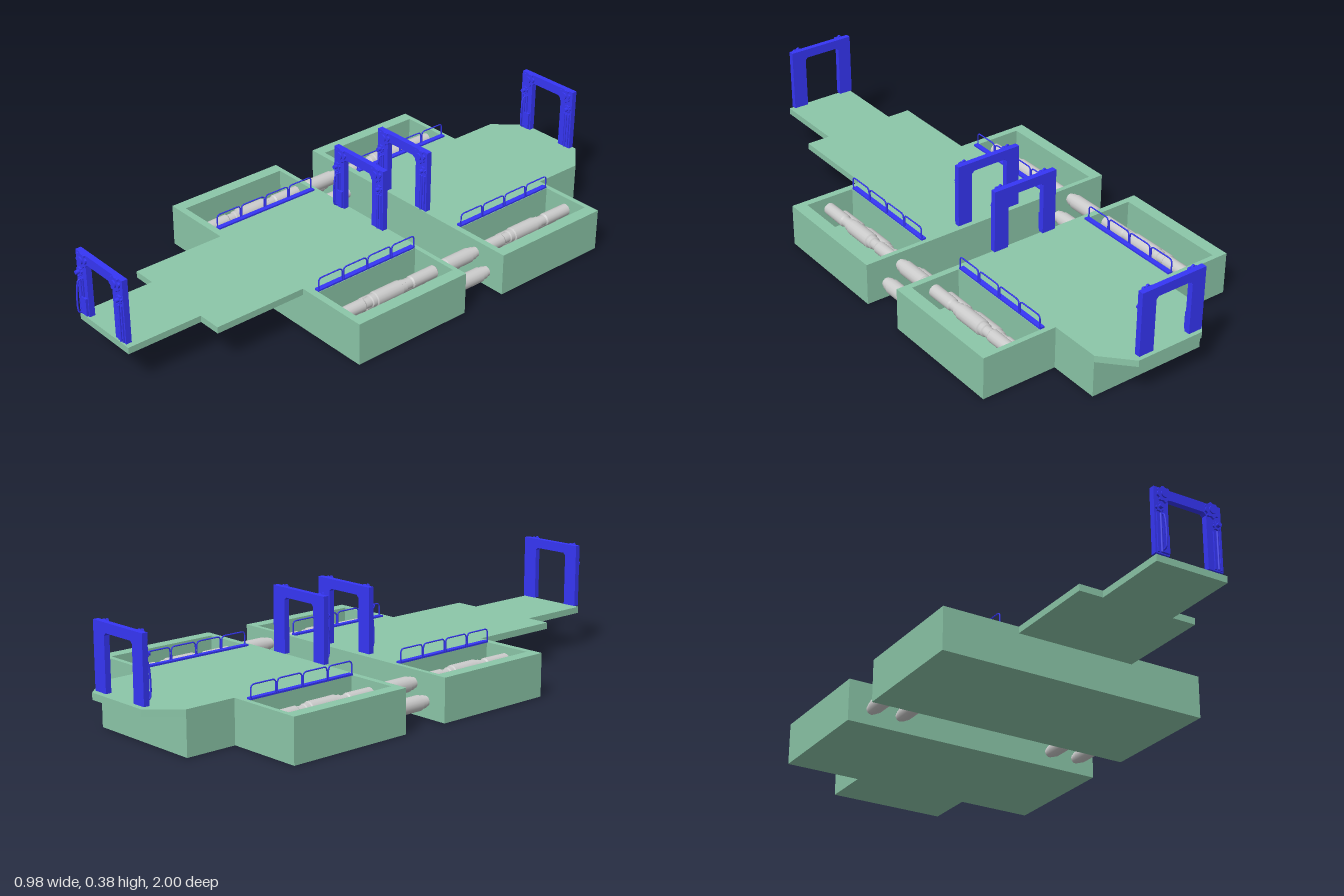
import * as THREE from 'three';

const green = new THREE.MeshStandardMaterial({ color: 0x8bc6a8, flatShading: true });
const blue = new THREE.MeshStandardMaterial({ color: 0x3636f6 });
const grey = new THREE.MeshStandardMaterial({ color: 0xcccccc });

function add(parent, name, geometry, material, x = 0, y = 0, z = 0) {
  const mesh = new THREE.Mesh(geometry, material);
  mesh.name = name;
  mesh.position.set(x, y, z);
  parent.add(mesh);
  return mesh;
}

// box given by its limits on each axis
function block(parent, name, material, x0, x1, y0, y1, z0, z1) {
  return add(parent, name, new THREE.BoxGeometry(x1 - x0, y1 - y0, z1 - z0), material,
    (x0 + x1) / 2, (y0 + y1) / 2, (z0 + z1) / 2);
}

// mirror a half outline of [x, z] points into a full closed one
const mirrored = (half) => [...half, ...half.map(([x, z]) => [-x, z]).reverse()];

// plan points, always wound the same way so that hole walls face outward
function toPath(pts) {
  const path = pts.map(([x, z]) => new THREE.Vector2(x, -z));
  return THREE.ShapeUtils.isClockWise(path) ? path.reverse() : path;
}

// horizontal slab from a plan outline, with optional holes
function slab(parent, name, outline, y0, y1, holes = []) {
  const shape = new THREE.Shape(toPath(outline));
  holes.forEach((h) => shape.holes.push(new THREE.Path(toPath(h))));
  const geo = new THREE.ExtrudeGeometry(shape, { depth: y1 - y0, bevelEnabled: false });
  geo.rotateX(-Math.PI / 2);
  return add(parent, name, geo, green, 0, y0, 0);
}

// hull block with an open trough on each side
function hull(parent, name, outline, z0, z1) {
  const g = new THREE.Group();
  g.name = name;
  const trough = (s) => [[s * 0.265, z0], [s * 0.445, z0], [s * 0.445, z1], [s * 0.265, z1]];
  slab(g, 'hullWalls', outline, 0.025, 0.15, [trough(1), trough(-1)]);
  slab(g, 'hullFloor', outline, 0, 0.025);
  parent.add(g);
}

// pipe running through both hulls, with repeating thick sleeves and collars
function pipeGeometry() {
  const pts = [[0, -0.7], [0.021, -0.7]];
  for (let i = 0; i < 3; i++) {
    const c = -0.487 + i * 0.311;
    const steps = [[0.022, -0.105], [0.018, -0.1], [0.018, -0.075], [0.022, -0.072], [0.022, -0.056],
      [0.026, -0.053]];
    steps.forEach(([r, d]) => pts.push([r, c + d]));
    steps.reverse().forEach(([r, d]) => pts.push([r, c - d]));
  }
  pts.push([0.021, 0.34], [0, 0.34]);
  const flat = [];
  // doubled points keep the steps crisp
  pts.forEach(([r, y]) => flat.push(new THREE.Vector2(r, y), new THREE.Vector2(r, y)));
  const geo = new THREE.LatheGeometry(flat, 16);
  geo.rotateX(Math.PI / 2);
  return geo;
}

function gearGeometry(radius, teeth, depth) {
  const pts = [];
  for (let i = 0; i < teeth * 4; i++) {
    const a = ((i + 0.5) / (teeth * 4)) * Math.PI * 2;
    const r = i % 4 < 2 ? radius : radius * 0.85;
    pts.push(new THREE.Vector2(r * Math.cos(a), r * Math.sin(a)));
  }
  return new THREE.ExtrudeGeometry(new THREE.Shape(pts), { depth, bevelEnabled: false });
}

// cylinder lying along z, starting at z = 0
const axle = (r, length) =>
  new THREE.CylinderGeometry(r, r, length, 16).rotateX(Math.PI / 2).translate(0, 0, length / 2);

// tube along a rounded upside-down U in the z-y plane
function hoopGeometry(z0, z1, y0, y1, r, tube) {
  const V = (y, z) => new THREE.Vector3(0, y, z);
  const path = new THREE.CurvePath();
  path.add(new THREE.LineCurve3(V(y0, z0), V(y1 - r, z0)));
  path.add(new THREE.QuadraticBezierCurve3(V(y1 - r, z0), V(y1, z0), V(y1, z0 + r)));
  path.add(new THREE.LineCurve3(V(y1, z0 + r), V(y1, z1 - r)));
  path.add(new THREE.QuadraticBezierCurve3(V(y1, z1 - r), V(y1, z1), V(y1 - r, z1)));
  path.add(new THREE.LineCurve3(V(y1 - r, z1), V(y0, z1)));
  return new THREE.TubeGeometry(path, 40, tube, 6);
}

// portal frame; z = 0 is its front face
function gate(parent, z) {
  const g = new THREE.Group();
  g.name = 'gate';
  g.position.set(-0.006, 0, z);
  const frame = new THREE.Shape([[-0.124, 0.156], [-0.073, 0.156], [-0.073, 0.338], [-0.064, 0.347],
    [0.06, 0.347], [0.069, 0.338], [0.069, 0.156], [0.124, 0.156], [0.124, 0.38], [-0.124, 0.38],
  ].map(([x, y]) => new THREE.Vector2(x, y)));
  add(g, 'gateFrame', new THREE.ExtrudeGeometry(frame, { depth: 0.02, bevelEnabled: false }), blue, 0, 0, -0.02);
  for (const s of [-1, 1]) {
    // gears, hubs and guide rails on each post
    add(g, 'largeGear', gearGeometry(0.027, 8, 0.007), blue, s * 0.089, 0.358);
    add(g, 'largeHub', axle(0.013, 0.012), blue, s * 0.089, 0.358);
    add(g, 'smallGear', gearGeometry(0.015, 8, 0.006), blue, s * 0.106, 0.31);
    add(g, 'smallHub', axle(0.007, 0.018), blue, s * 0.106, 0.31);
    for (const x of [0.094, 0.115])
      block(g, 'guideRail', blue, s * x - 0.003, s * x + 0.003, 0.16, 0.29, 0, 0.005);
    add(g, 'pistonRod', new THREE.CylinderGeometry(0.004, 0.004, 0.13, 8), blue, s * 0.104, 0.225, 0.005);
  }
  // actuator and looped hose on the right post
  block(g, 'actuator', blue, -0.102, -0.077, 0.16, 0.222, 0, 0.008);
  const hose = [[0.285, 0], [0.284, 0.014], [0.268, 0.019], [0.23, 0.023], [0.185, 0.023], [0.17, 0.019], [0.167, 0]]
    .map(([y, d]) => new THREE.Vector3(-0.1, y, d));
  add(g, 'hose', new THREE.TubeGeometry(new THREE.CatmullRomCurve3(hose), 24, 0.003, 6), blue);
  parent.add(g);
}

// footing strip with a row of four hoops on its outer edge
function railing(parent, side, z0, z1) {
  const g = new THREE.Group();
  g.name = 'railing';
  g.position.x = side * 0.267 - 0.004;
  const inner = -side * 0.018;
  block(g, 'railFooting', blue, Math.min(0, inner), Math.max(0, inner), 0.15, 0.156, z0, z1);
  const step = (z1 - z0) / 4;
  for (let i = 0; i < 4; i++)
    add(g, 'railHoop', hoopGeometry(z0 + i * step + 0.003, z0 + (i + 1) * step - 0.003, 0.153, 0.198, 0.014, 0.0025),
      blue, -side * 0.002);
  parent.add(g);
}

export function createModel() {
  const model = new THREE.Group();
  model.name = 'platform';

  // two hulls with a gap between them
  hull(model, 'frontHull', mirrored([[0.489, -0.092], [0.489, 0.365]]), -0.075, 0.34);
  hull(model, 'rearHull', mirrored([[0.489, -0.263], [0.489, -0.72], [0.216, -0.72], [0.216, -0.903]]), -0.702, -0.285);

  // thin stepped deck at the front, chamfered lip at the rear
  slab(model, 'frontDeck', mirrored([[0.216, 0.365], [0.216, 0.705], [0.13, 0.705], [0.13, 0.977]]), 0.127, 0.15);
  slab(model, 'rearLip', mirrored([[0.216, -0.903], [0.125, -1]]), 0.127, 0.15);

  // three stacked pipes and two railings on each side
  const pipe = pipeGeometry();
  for (const s of [-1, 1]) {
    for (const [x, y] of [[0.299, 0.056], [0.409, 0.056], [0.354, 0.106]])
      add(model, 'pipe', pipe, grey, s * x + 0.005, y, 0);
    railing(model, s, -0.075, 0.34);
    railing(model, s, -0.702, -0.285);
  }

  for (const z of [0.975, -0.062, -0.26, -0.972]) gate(model, z);
  return model;
}
